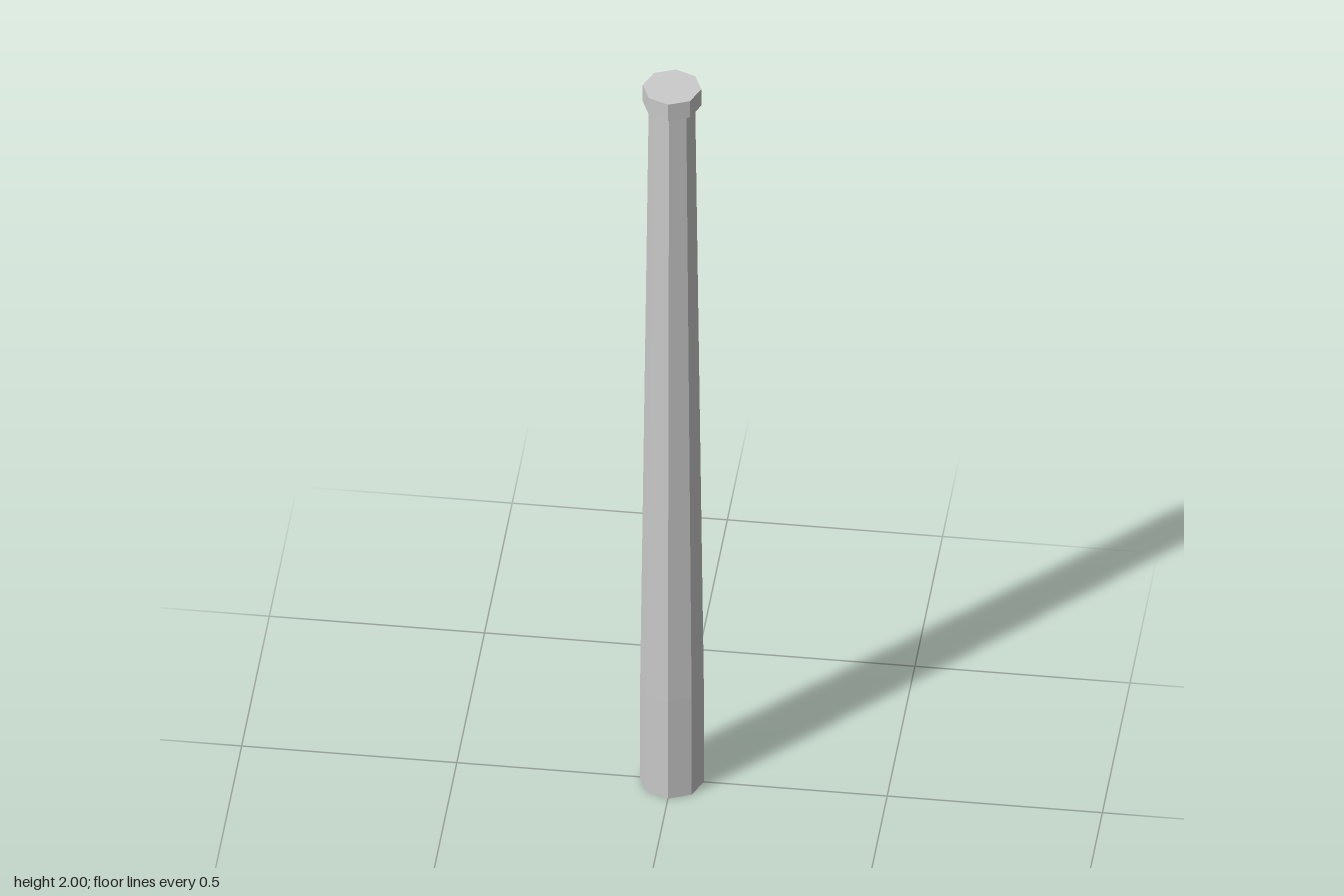
import * as THREE from 'three';

const SIDES = 8;
const material = new THREE.MeshStandardMaterial({
  color: 0xcccccc, flatShading: true, side: THREE.DoubleSide,
});

// Faceted part turned from [radius, height] pairs, bottom to top
function turned(name, profile) {
  const points = profile.map(([r, y]) => new THREE.Vector2(r, y));
  const mesh = new THREE.Mesh(new THREE.LatheGeometry(points, SIDES), material);
  mesh.name = name;
  return mesh;
}

export function createModel() {
  const group = new THREE.Group();
  group.name = 'post';
  group.add(
    // straight foot, open underneath
    turned('base', [[0.074, 0], [0.074, 0.28]]),
    // long tapering shaft
    turned('shaft', [[0.074, 0.28], [0.054, 1.953]]),
    // overhanging cap with a flat top
    turned('cap', [[0.054, 1.953], [0.068, 1.953], [0.068, 2], [0, 2]]),
  );
  return group;
}
